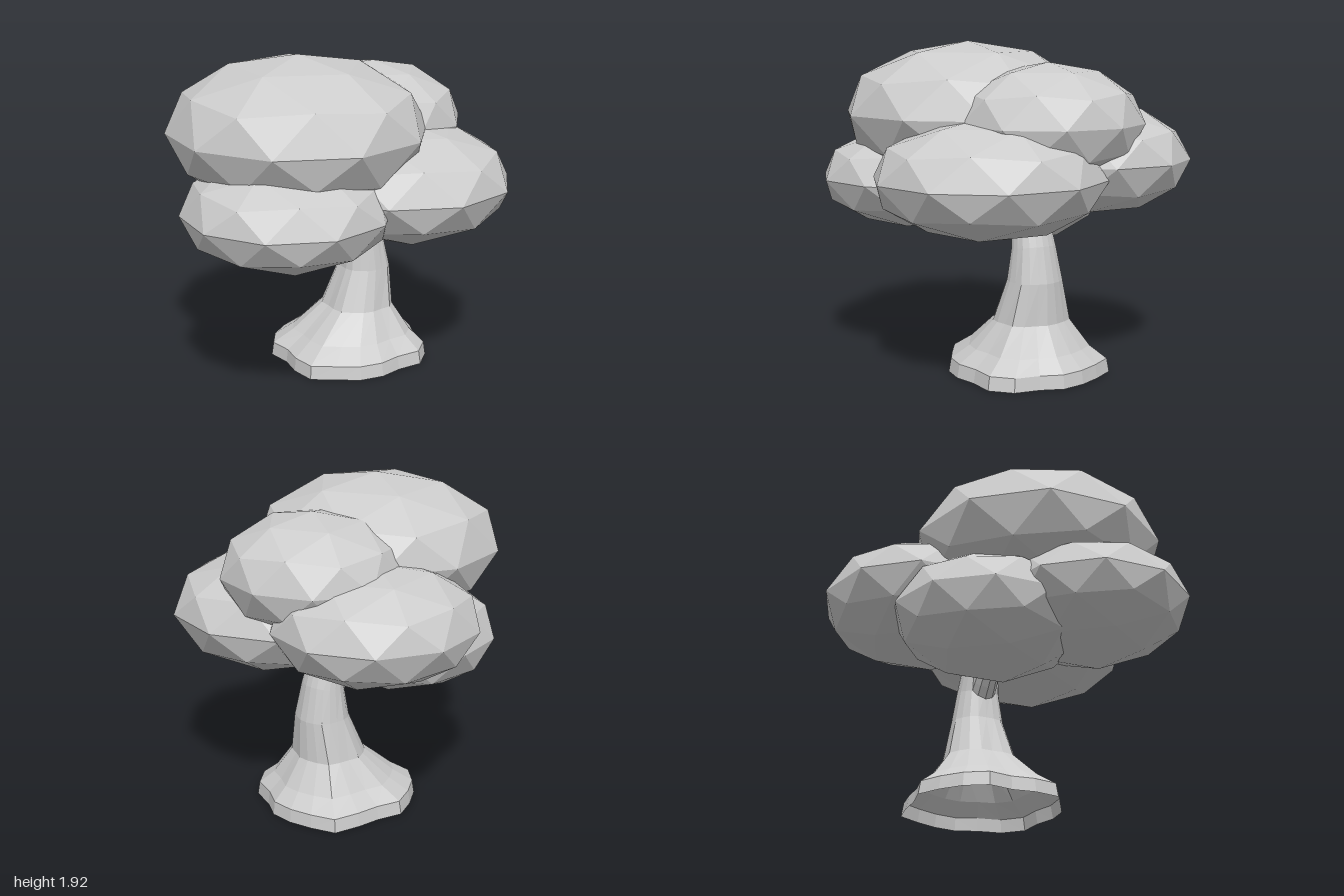
import * as THREE from 'three';

const leafMaterial = new THREE.MeshStandardMaterial({ color: 0xcccccc, flatShading: true });
const barkMaterial = new THREE.MeshStandardMaterial({
  color: 0xcccccc, flatShading: true, side: THREE.DoubleSide, // trunk is an open shell
});

// Low-poly foliage clump: a subdivided icosahedron standing on one corner, then stretched
function foliage(name, center, radii) {
  const geometry = new THREE.IcosahedronGeometry(1, 1);
  geometry.rotateZ(-Math.atan(2 / (1 + Math.sqrt(5))));
  geometry.scale(...radii);
  geometry.computeVertexNormals();
  const mesh = new THREE.Mesh(geometry, leafMaterial);
  mesh.name = name;
  mesh.position.set(...center);
  return mesh;
}

// Faceted skin through rings; each ring is { x, y, rx, rz, tilt, flute }
function loft(name, rings, sides) {
  const points = [], index = [];
  rings.forEach(({ x, y, rx, rz, tilt = 0, flute = 0 }, i) => {
    for (let j = 0; j < sides; j++) {
      const a = (j / sides) * Math.PI * 2;
      // root lobes, strongest near the ground
      const lobe = 1 + flute * (0.6 * Math.cos(4 * a + Math.PI) + 0.6 * Math.cos(7 * a + 0.6));
      const u = Math.cos(a) * rx * lobe;
      points.push(x + u * Math.cos(tilt), y + u * Math.sin(tilt), Math.sin(a) * rz * lobe);
      if (i === rings.length - 1) continue;
      const k = (j + 1) % sides, lo = i * sides, hi = lo + sides;
      index.push(lo + j, hi + j, lo + k, lo + k, hi + j, hi + k);
    }
  });
  let geometry = new THREE.BufferGeometry();
  geometry.setAttribute('position', new THREE.Float32BufferAttribute(points, 3));
  geometry.setIndex(index);
  geometry = geometry.toNonIndexed();
  geometry.computeVertexNormals();
  const mesh = new THREE.Mesh(geometry, barkMaterial);
  mesh.name = name;
  return mesh;
}

export function createModel() {
  const tree = new THREE.Group();
  tree.name = 'tree';

  // Leaning trunk with flared roots, open underneath
  tree.add(loft('trunk', [
    { x: 0.19, y: 0, rx: 0.465, rz: 0.455, flute: 0.08 },
    { x: 0.19, y: 0.08, rx: 0.455, rz: 0.44, flute: 0.08 },
    { x: 0.21, y: 0.16, rx: 0.355, rz: 0.34, flute: 0.07 },
    { x: 0.25, y: 0.32, rx: 0.21, rz: 0.22, flute: 0.06 },
    { x: 0.295, y: 0.56, rx: 0.155, rz: 0.16, flute: 0.04 },
    { x: 0.285, y: 0.75, rx: 0.12, rz: 0.13, tilt: 0.15, flute: 0.02 },
    { x: 0.25, y: 0.9, rx: 0.105, rz: 0.11, tilt: 0.3 },
    { x: 0.2, y: 1.05, rx: 0.09, rz: 0.1, tilt: 0.4 },
  ], 20));

  // Short side branch reaching up into the low clump
  tree.add(loft('branch', [
    { x: 0.27, y: 0.68, rx: 0.08, rz: 0.08, tilt: 0.6 },
    { x: 0.17, y: 0.79, rx: 0.075, rz: 0.075, tilt: 0.75 },
    { x: 0.04, y: 0.93, rx: 0.06, rz: 0.06, tilt: 0.8 },
  ], 10));

  // Crown
  const crown = new THREE.Group();
  crown.name = 'crown';
  crown.add(
    foliage('topFoliage', [-0.23, 1.5, 0.165], [0.745, 0.42, 0.745]),
    foliage('upperLeftFoliage', [0.37, 1.47, -0.045], [0.53, 0.34, 0.555]),
    foliage('frontLeftFoliage', [0.35, 1.175, 0.31], [0.65, 0.345, 0.67]),
    foliage('frontRightFoliage', [-0.42, 1.11, 0.415], [0.59, 0.31, 0.585]),
    foliage('backFoliage', [0.22, 1.24, -0.42], [0.6, 0.33, 0.58]),
    foliage('lowFoliage', [-0.2, 1.03, -0.12], [0.545, 0.33, 0.58]),
  );
  tree.add(crown);
  return tree;
}
